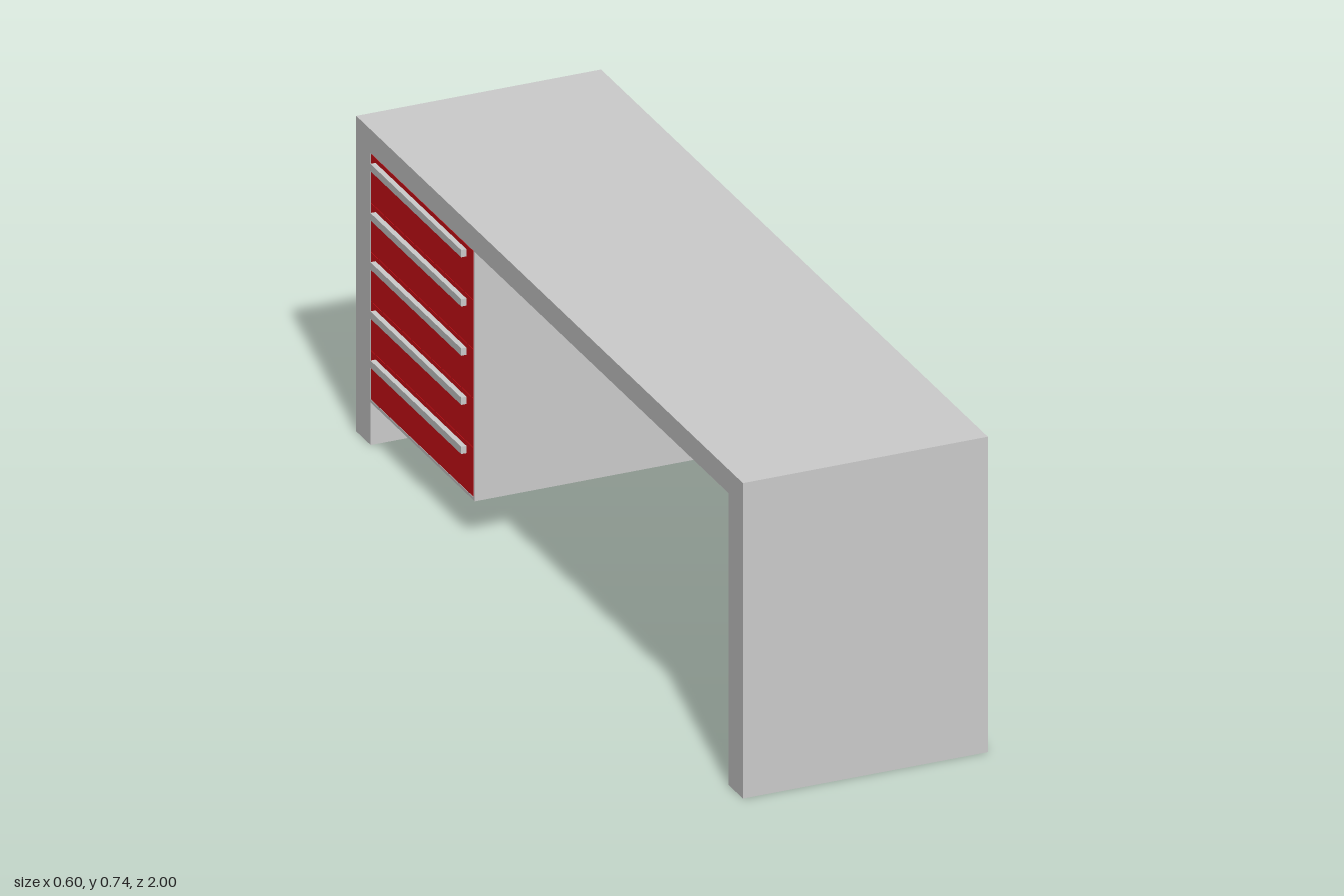
import * as THREE from 'three';

const grey = new THREE.MeshStandardMaterial({ color: 0xcccccc });
const red = new THREE.MeshStandardMaterial({ color: 0xd01018 });

// Box given by its min and max corners
function box(name, [x0, y0, z0], [x1, y1, z1], material = grey) {
  const mesh = new THREE.Mesh(new THREE.BoxGeometry(x1 - x0, y1 - y0, z1 - z0), material);
  mesh.position.set((x0 + x1) / 2, (y0 + y1) / 2, (z0 + z1) / 2);
  mesh.name = name;
  return mesh;
}

export function createModel() {
  const desk = new THREE.Group();
  desk.name = 'desk';
  const left = -0.286, right = 0.28, height = 0.735, under = 0.68, leg = 0.925;

  // Waterfall frame: one profile with the top and both end panels, extruded across x
  const profile = new THREE.Shape([
    [-1, 0], [-leg, 0], [-leg, under], [leg, under],
    [leg, 0], [1, 0], [1, height], [-1, height],
  ].map(([z, y]) => new THREE.Vector2(z, y)));
  const frameGeometry = new THREE.ExtrudeGeometry(profile, { depth: right - left, bevelEnabled: false });
  frameGeometry.rotateY(Math.PI / 2).translate(left, 0, 0);
  const frame = new THREE.Mesh(frameGeometry, grey);
  frame.name = 'frame';
  desk.add(frame);

  // Cabinet shell: floor and inner side panel
  const cabinet = new THREE.Group();
  cabinet.name = 'cabinet';
  cabinet.add(
    box('cabinetFloor', [left, 0.099, -leg], [right, 0.106, -0.387]),
    box('cabinetSide', [left, 0.106, -0.394], [right, under, -0.387]),
  );
  desk.add(cabinet);

  // Five drawers running through the cabinet, each with a bar handle
  const count = 5, bottom = 0.107, pitch = (under - bottom) / count;
  for (let i = 0; i < count; i++) {
    const y = bottom + i * pitch;
    const drawer = new THREE.Group();
    drawer.name = `drawer${i + 1}`;
    drawer.add(
      box('drawerBody', [left, y, -leg + 0.001], [0.297, y + pitch - 0.001, -0.395], red),
      box('handle', [-0.298, y + 0.086, -0.9], [left, y + 0.103, -0.43]),
    );
    desk.add(drawer);
  }
  return desk;
}
